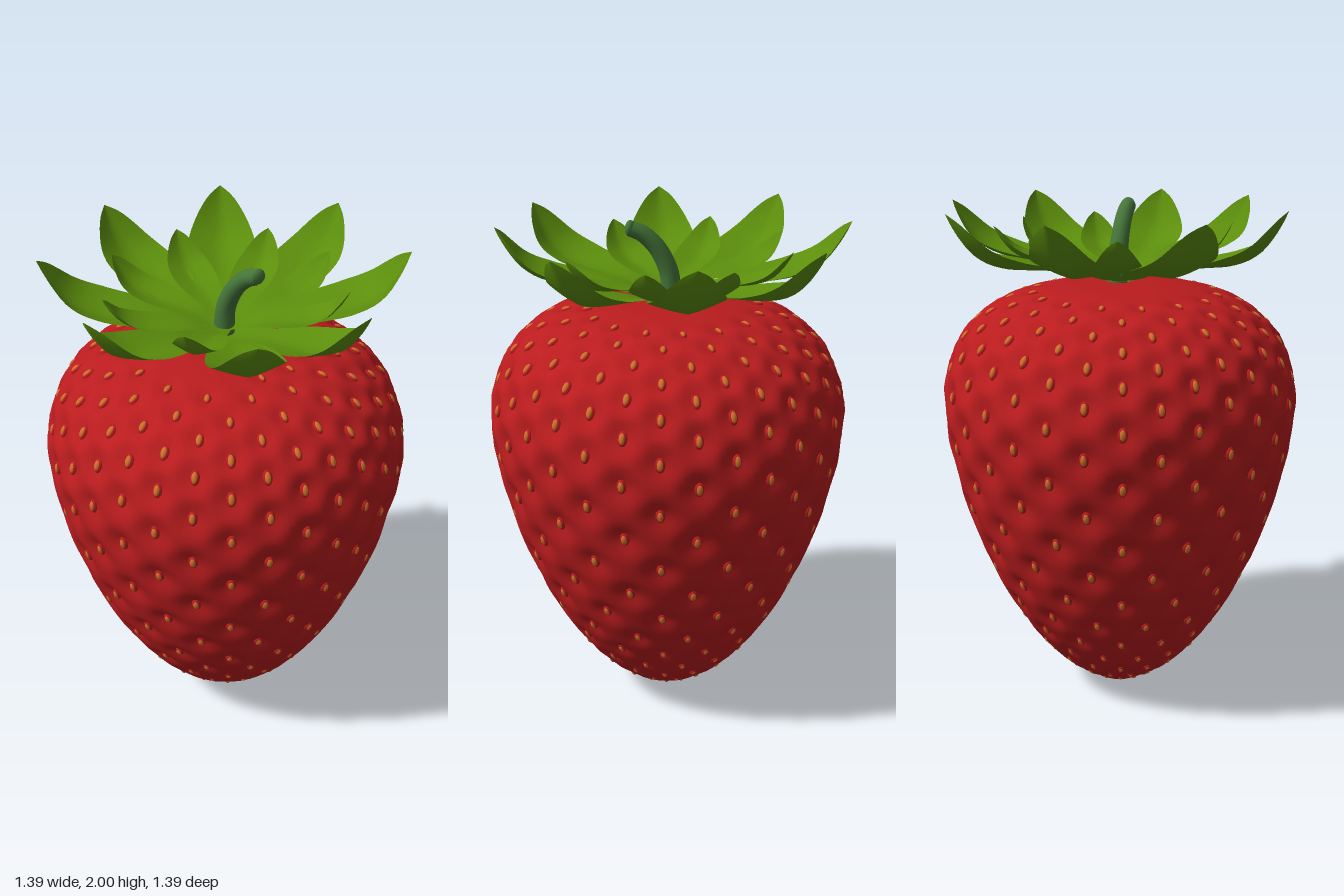
import * as THREE from 'three';
import { mergeGeometries, mergeVertices } from 'three/addons/utils/BufferGeometryUtils.js';

const paint = (name, color, side = THREE.FrontSide) => {
  const m = new THREE.MeshStandardMaterial({ color, side });
  m.name = name;
  return m;
};
const v3 = (x, y, z) => new THREE.Vector3(x, y, z);

// Fruit outline as [radius, height], from tip to shoulder
const OUTLINE = [[0, 0.003], [0.1, 0.025], [0.195, 0.085], [0.283, 0.165], [0.39, 0.3], [0.513, 0.52],
  [0.612, 0.78], [0.663, 0.98], [0.694, 1.17], [0.69, 1.32], [0.638, 1.47], [0.567, 1.555],
  [0.475, 1.618], [0.36, 1.658], [0.2, 1.683], [0, 1.69]];
const profile = new THREE.SplineCurve(OUTLINE.map(p => new THREE.Vector2(...p))).getSpacedPoints(150);
profile[0].x = profile[150].x = 0;

// Heights of one seed spiral on each turn, from shoulder to tip
const TURNS = [1.67, 1.65, 1.615, 1.575, 1.53, 1.475, 1.41, 1.33, 1.24, 1.13, 1.02, 0.89, 0.755,
  0.63, 0.5, 0.39, 0.29, 0.205, 0.13, 0.07, 0.04];
const PER_TURN = 15.5;

function seedSpots() {
  const spots = [];
  for (let n = 0; n < (TURNS.length - 1) * PER_TURN; n++) {
    const turn = Math.floor(n / PER_TURN);
    const y = THREE.MathUtils.lerp(TURNS[turn], TURNS[turn + 1], n / PER_TURN - turn);
    const phi = -0.06 + n / PER_TURN * Math.PI * 2;
    const i = profile.findIndex(p => p.y >= y);
    const lower = profile[i - 1], upper = profile[i];
    const r = THREE.MathUtils.mapLinear(y, lower.y, upper.y, lower.x, upper.x);
    const slope = upper.clone().sub(lower).normalize();
    const s = Math.sin(phi), c = Math.cos(phi);
    spots.push({
      position: v3(r * s, y, r * c),
      up: v3(slope.x * s, slope.y, slope.x * c),
      normal: v3(slope.y * s, -slope.x, slope.y * c),
      spread: Math.max(0.032, 0.08 * r),
      depth: Math.max(0.011, 0.036 * r),
      size: Math.min(1, 0.55 + r * 0.75),
    });
  }
  return spots;
}

// Lathed fruit with a dimple pressed in around every seed
function fruitGeometry(spots) {
  let g = new THREE.LatheGeometry(profile, 208);
  g.deleteAttribute('uv');
  const pos = g.attributes.position, nor = g.attributes.normal;
  const p = v3(), n = v3();
  for (let i = 0; i < pos.count; i++) {
    p.fromBufferAttribute(pos, i);
    n.fromBufferAttribute(nor, i);
    let dent = 0;
    for (const s of spots) {
      if (Math.abs(s.position.y - p.y) > 0.2) continue;
      const d2 = s.position.distanceToSquared(p) / (s.spread * s.spread);
      if (d2 < 9) dent = Math.max(dent, s.depth * Math.exp(-d2 / 1.2));
    }
    p.addScaledVector(n, -dent);
    pos.setXYZ(i, p.x, p.y, p.z);
  }
  g.deleteAttribute('normal');
  g = mergeVertices(g, 1e-5);
  g.computeVertexNormals();
  return g;
}

// One ellipsoid per dimple, lifted from its floor
function studsGeometry(spots, width, height, thickness, lift) {
  const base = new THREE.SphereGeometry(1, 10, 6);
  return mergeGeometries(spots.map(s => {
    const side = s.up.clone().cross(s.normal);
    const at = s.position.clone().addScaledVector(s.normal, lift * s.size - s.depth);
    const m = new THREE.Matrix4().makeBasis(side, s.up, s.normal).setPosition(at)
      .scale(v3(width, height, thickness).multiplyScalar(s.size));
    return base.clone().applyMatrix4(m);
  }));
}

// Leaf swept along a rising midrib: rows are [distance, height, half width] fractions
const LEAF = [[0, 0, 0.3], [0.12, 0.05, 0.38], [0.28, 0.16, 0.55], [0.42, 0.21, 0.8], [0.55, 0.24, 0.95],
  [0.66, 0.27, 1], [0.76, 0.34, 0.97], [0.85, 0.47, 0.84], [0.92, 0.66, 0.62], [0.97, 0.85, 0.34], [1, 1, 0]];
const ACROSS = 8;

function leafGeometry(tipX, tipZ, tipY, baseY, halfWidth) {
  const spine = new THREE.CatmullRomCurve3(LEAF.map(r => v3(...r)));
  const steps = 24, verts = [], index = [];
  const length = Math.hypot(tipX, tipZ), dx = tipX / length, dz = tipZ / length;
  for (let i = 0; i <= steps; i++) {
    const f = spine.getPoint(i / steps);
    const w = Math.max(0, f.z) * halfWidth;
    for (let j = 0; j <= ACROSS; j++) {
      const u = j / ACROSS * 2 - 1;
      const cup = 0.32 * w * Math.min(1, f.x * 1.4) * Math.pow(Math.abs(u), 1.25);
      const d = f.x * length - cup * f.y * 0.8;
      verts.push(dx * d - dz * u * w, baseY + f.y * (tipY - baseY) + cup, dz * d + dx * u * w);
      if (i < steps && j < ACROSS) {
        const a = i * (ACROSS + 1) + j, b = a + ACROSS + 1;
        index.push(a, a + 1, b, b, a + 1, b + 1);
      }
    }
  }
  const g = new THREE.BufferGeometry();
  g.setAttribute('position', new THREE.Float32BufferAttribute(verts, 3));
  g.setIndex(index);
  g.computeVertexNormals();
  return g;
}

// Leaf tips as [x, z]
const OUTER = [[-0.18, -0.665], [0.31, -0.625], [0.635, -0.25], [0.63, 0.25], [0.22, 0.6], [-0.21, 0.6],
  [-0.625, 0.185], [-0.595, -0.325]];
const INNER = [[0.04, -0.48], [0.36, -0.32], [0.46, -0.03], [0.345, 0.29], [-0.32, 0.3], [-0.455, -0.07],
  [-0.275, -0.39]];

export function createModel() {
  const model = new THREE.Group();
  model.name = 'strawberry';
  const red = paint('fruit red', 0xba1c1e);
  const orange = paint('seed orange', 0xcc7029);
  const green = paint('leaf green', 0x5c8e0c, THREE.DoubleSide);
  const stemGreen = paint('stem green', 0x45753a);
  const add = (parent, name, geometry, material) => {
    const mesh = new THREE.Mesh(geometry, material);
    mesh.name = name;
    parent.add(mesh);
    return mesh;
  };

  // Fruit, with orange seeds set in red sockets
  const spots = seedSpots();
  add(model, 'fruit', fruitGeometry(spots), red);
  add(model, 'seedSockets', studsGeometry(spots, 0.018, 0.029, 0.013, 0.003), red);
  add(model, 'seeds', studsGeometry(spots, 0.0125, 0.022, 0.011, 0.008), orange);

  // Two rings of leaves
  const crown = new THREE.Group();
  crown.name = 'leafCrown';
  model.add(crown);
  OUTER.forEach(([x, z]) => add(crown, 'outerLeaf', leafGeometry(x, z, 1.985, 1.692, 0.135), green));
  INNER.forEach(([x, z]) => add(crown, 'innerLeaf', leafGeometry(x, z, 1.91, 1.722, 0.085), green));

  // Curved stem, tapering to a rounded end
  const path = new THREE.CatmullRomCurve3([v3(0, 1.69, -0.015), v3(0.003, 1.8, -0.005),
    v3(0.018, 1.89, 0.035), v3(0.037, 1.945, 0.085), v3(0.055, 1.968, 0.13)]);
  const tube = new THREE.TubeGeometry(path, 24, 0.04, 16);
  const tp = tube.attributes.position;
  for (let i = 0; i < tp.count; i++) {
    const t = Math.floor(i / 17) / 24;
    const p = v3().fromBufferAttribute(tp, i), c = path.getPointAt(t);
    p.sub(c).multiplyScalar(1 - 0.25 * t).add(c);
    tp.setXYZ(i, p.x, p.y, p.z);
  }
  add(model, 'stem', tube, stemGreen);
  const cap = add(model, 'stemEnd', new THREE.SphereGeometry(0.03, 16, 12), stemGreen);
  cap.position.copy(path.getPointAt(1));
  cap.scale.z = 0.6;
  return model;
}
